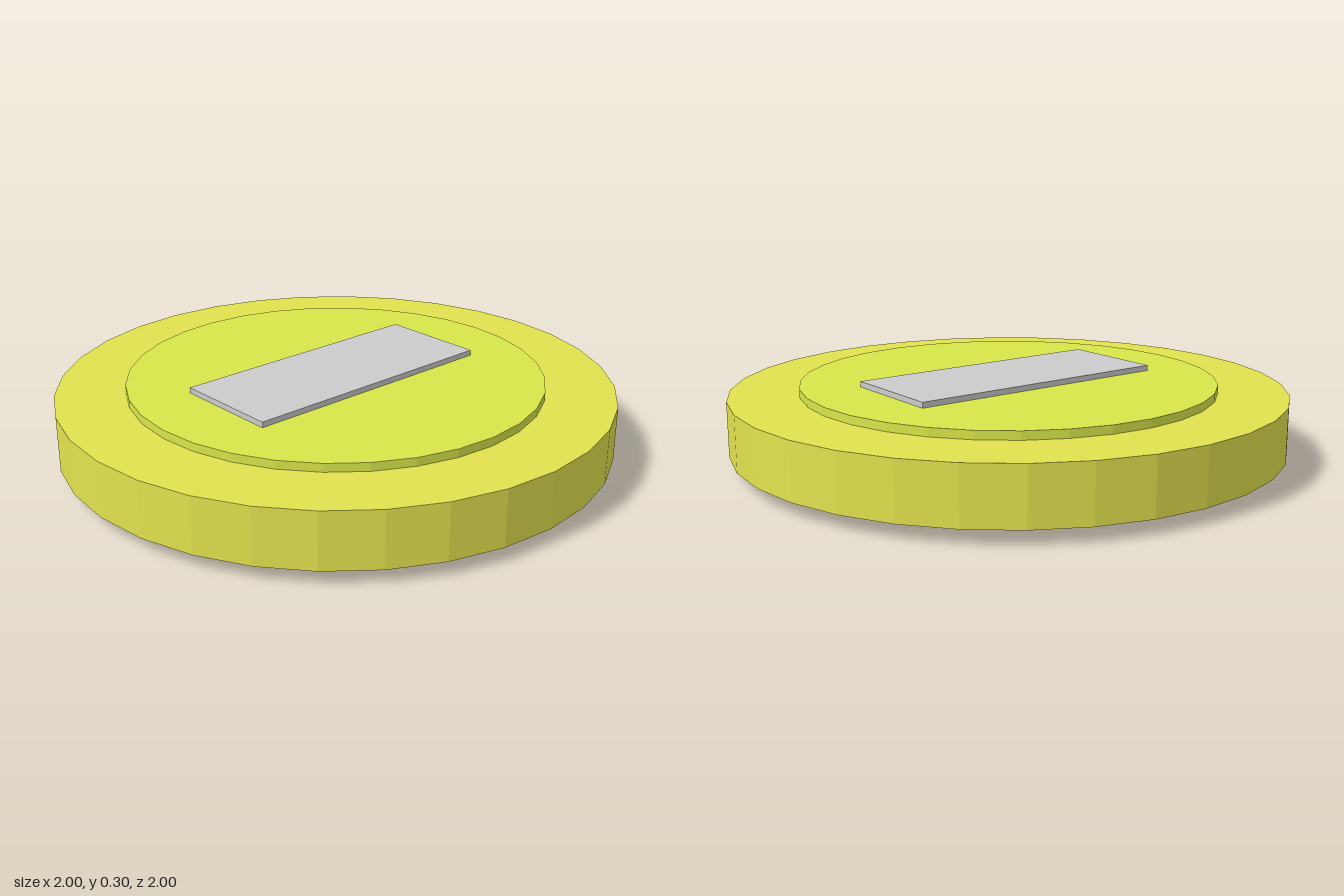
import * as THREE from 'three';

export function createModel() {
  const group = new THREE.Group();
  const midY = 0.15;

  const add = (name, geometry, color) => {
    const material = new THREE.MeshStandardMaterial({ color, flatShading: true });
    const mesh = new THREE.Mesh(geometry, material);
    mesh.name = name;
    mesh.position.y = midY;
    group.add(mesh);
  };

  // Outer ring of the coin
  add('rim', new THREE.CylinderGeometry(1, 1, 0.2, 32), 0xe2e24f);
  // Raised disc, showing on both faces
  add('innerDisc', new THREE.CylinderGeometry(0.75, 0.75, 0.26, 32), 0xd8e64a);
  // Rectangular emblem plate, passing through both faces
  add('centrePlate', new THREE.BoxGeometry(0.4, 0.3, 1), 0xcccccc);

  return group;
}
